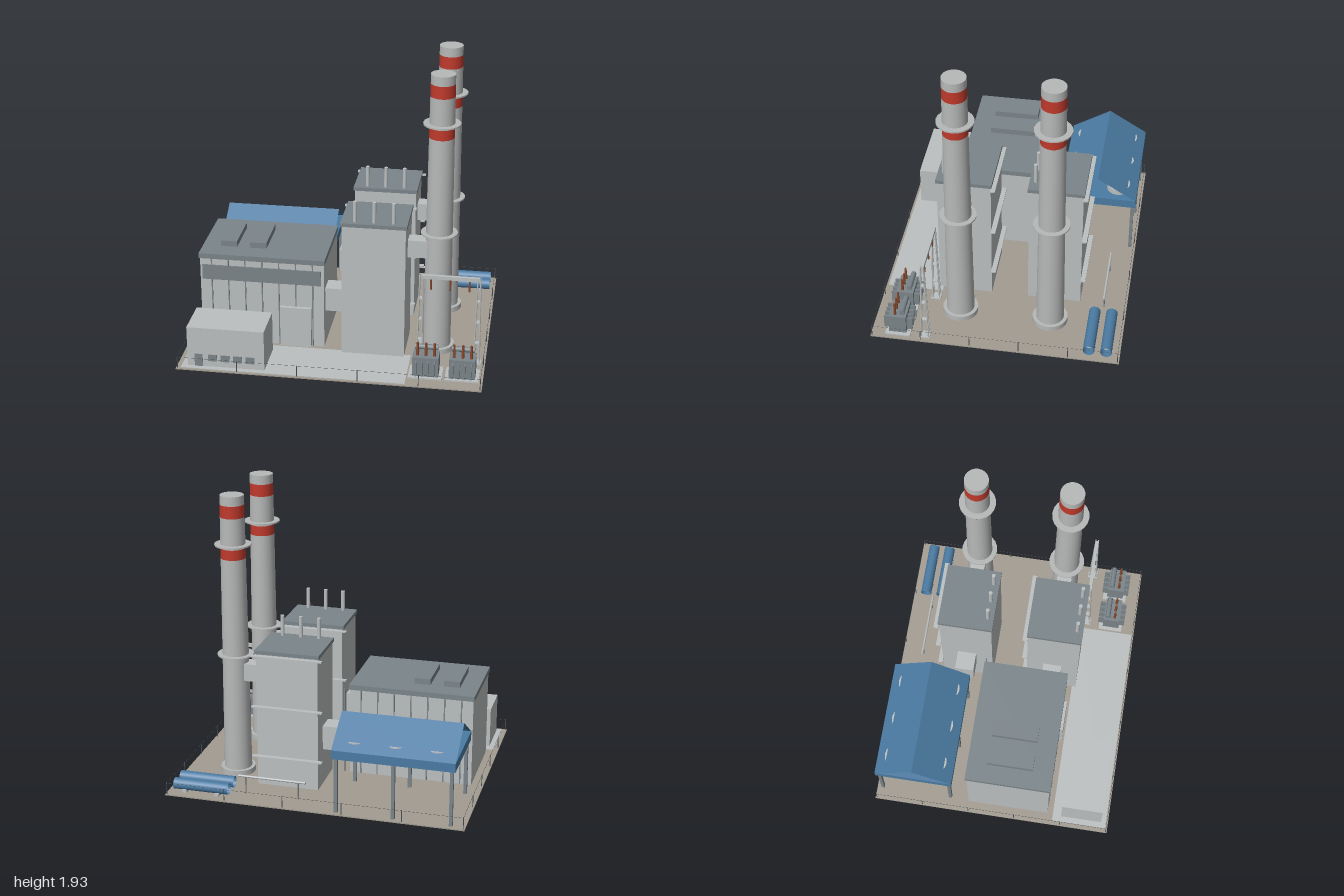
import * as THREE from 'three';

export function createModel() {
  const root = new THREE.Group();
  root.name = 'powerStation';

  const mat = (name, color, side = THREE.FrontSide) => {
    const m = new THREE.MeshStandardMaterial({ color, side });
    m.name = name;
    return m;
  };
  const wall = mat('paleCladding', 0xbcc0c0);
  const roof = mat('slateGrey', 0x7b858a);
  const concrete = mat('stackConcrete', 0xb7b8b8);
  const red = mat('warningRed', 0xc0392b);
  const blue = mat('steelBlue', 0x4b7ba3, THREE.DoubleSide);
  const ground = mat('gravel', 0xa29c91);
  const dark = mat('darkSteel', 0x50565a);
  const brown = mat('insulatorBrown', 0x8a4a2c);

  const group = (name, parent = root) => {
    const g = new THREE.Group();
    g.name = name;
    parent.add(g);
    return g;
  };
  const add = (parent, name, geo, material) => {
    const m = new THREE.Mesh(geo, material);
    m.name = name;
    parent.add(m);
    return m;
  };
  // box given by its limits on each axis
  const box = (p, name, m, x0, x1, y0, y1, z0, z1) => {
    const g = new THREE.BoxGeometry(x1 - x0, y1 - y0, z1 - z0);
    g.translate((x0 + x1) / 2, (y0 + y1) / 2, (z0 + z1) / 2);
    return add(p, name, g, m);
  };
  // upright cylinder from y0 to y1
  const cyl = (p, name, m, x, z, y0, y1, r0, r1 = r0, n = 16) => {
    const g = new THREE.CylinderGeometry(r1, r0, y1 - y0, n);
    g.translate(x, (y0 + y1) / 2, z);
    return add(p, name, g, m);
  };
  // straight rod between two points
  const rod = (p, name, m, a, b, r, n = 6, open = false) => {
    const A = new THREE.Vector3(...a), B = new THREE.Vector3(...b);
    const d = B.clone().sub(A);
    const mesh = add(p, name, new THREE.CylinderGeometry(r, r, d.length(), n, 1, open), m);
    mesh.position.copy(A).add(B).multiplyScalar(0.5);
    mesh.quaternion.setFromUnitVectors(new THREE.Vector3(0, 1, 0), d.normalize());
    return mesh;
  };

  // Site
  const site = group('site');
  box(site, 'groundSlab', ground, -1, 1, 0, 0.008, -0.83, 0.83);
  box(site, 'frontApron', wall, -0.97, 0.505, 0.008, 0.012, 0.435, 0.815);

  // Perimeter fence
  const fence = group('fence');
  for (const s of [-1, 1]) {
    for (let i = 0; i <= 5; i++) cyl(fence, 'fencePost', dark, -0.99 + i * 0.396, s * 0.82, 0, 0.09, 0.003, 0.003, 5);
    for (let i = 1; i < 5; i++) cyl(fence, 'fencePost', dark, s * 0.99, -0.82 + i * 0.328, 0, 0.09, 0.003, 0.003, 5);
    rod(fence, 'fenceWire', dark, [-0.99, 0.086, s * 0.82], [0.99, 0.086, s * 0.82], 0.001, 4);
    rod(fence, 'fenceWire', dark, [s * 0.99, 0.086, -0.82], [s * 0.99, 0.086, 0.82], 0.001, 4);
  }

  // Turbine hall
  const hall = group('turbineHall');
  box(hall, 'hallWalls', wall, -0.92, -0.085, 0, 0.61, -0.17, 0.395);
  box(hall, 'hallRoof', roof, -0.928, -0.08, 0.61, 0.645, -0.18, 0.402);
  box(hall, 'windowBand', roof, -0.905, -0.105, 0.46, 0.565, 0.395, 0.402);
  for (let i = 0; i < 8; i++) {
    const x = -0.842 + i * 0.1135;
    if (i < 7) box(hall, 'frontRib', roof, x - 0.004, x + 0.004, 0.01, 0.61, 0.395, 0.4);
    box(hall, 'backRib', roof, x - 0.004, x + 0.004, 0.01, 0.61, -0.176, -0.17);
  }
  box(hall, 'gate', wall, -0.38, -0.17, 0, 0.295, 0.395, 0.42);
  for (const x of [-0.75, -0.55]) box(hall, 'roofVent', roof, x - 0.055, x + 0.055, 0.645, 0.685, -0.045, 0.265);

  // Office block
  const office = group('office');
  box(office, 'officeWalls', wall, -0.93, -0.418, 0, 0.29, 0.495, 0.78);
  box(office, 'officeDoor', roof, -0.882, -0.828, 0.012, 0.1, 0.78, 0.784);
  for (let i = 0; i < 4; i++) {
    const x = -0.762 + i * 0.0835;
    box(office, 'officeWindow', roof, x - 0.029, x + 0.029, 0.053, 0.1, 0.78, 0.784);
  }

  // Two boiler units, each with its stack
  for (const z of [0.28, -0.33]) {
    const boiler = group('boilerUnit');
    box(boiler, 'boilerWalls', wall, 0.043, 0.46, 0, 0.93, z - 0.18, z + 0.18);
    box(boiler, 'boilerRoof', roof, 0.033, 0.468, 0.93, 0.955, z - 0.186, z + 0.186);
    for (const x of [0.125, 0.25, 0.377]) cyl(boiler, 'ventPipe', wall, x, z + 0.145, 0.955, 1.097, 0.013, 0.013, 12);
    for (const y of [0.215, 0.567, 0.92]) box(boiler, 'gallery', wall, 0.01, 0.49, y - 0.004, y + 0.004, z - 0.212, z - 0.18);
    box(boiler, 'steamDuct', wall, -0.085, 0.045, 0.255, 0.42, z - 0.065, z + 0.065);
    box(boiler, 'flueDuct', wall, 0.46, 0.6, 0.68, 0.8, z - 0.05, z + 0.05);

    const stack = group('stack');
    const X = 0.66, H = 1.935;
    const radius = y => 0.094 - 0.015 * y / H;
    cyl(stack, 'stackFooting', concrete, X, z, 0, 0.045, 0.118, 0.118, 20);
    // shaft sections between the painted bands
    const levels = [0.04, 1.515, 1.583, 1.79, 1.873, H];
    for (let i = 0; i < 5; i++) {
      const [a, b] = [levels[i], levels[i + 1]];
      cyl(stack, i % 2 ? 'warningBand' : 'shaft', i % 2 ? red : concrete, X, z, a, b, radius(a), radius(b), 20);
    }
    for (const y of [0.85, 1.605]) cyl(stack, 'ringWalkway', concrete, X, z, y - 0.005, y + 0.005, 0.121, 0.121, 20);
  }

  // Air-cooled condenser on legs, with an A-shaped roof over its fans
  const cond = group('condenser');
  const [cx0, cx1, cz0, cz1, eave, ridge, mid] = [-0.93, -0.13, -0.813, -0.28, 0.445, 0.61, -0.546];
  box(cond, 'deck', blue, cx0, cx1, 0.385, eave, cz0, cz1);
  for (const x of [-0.905, -0.53, -0.155])
    for (const z of [-0.79, -0.303]) box(cond, 'deckLeg', roof, x - 0.011, x + 0.011, 0, 0.385, z - 0.011, z + 0.011);
  for (const x of [-0.797, -0.53, -0.263])
    for (const z of [-0.68, -0.412]) cyl(cond, 'fan', wall, x, z, eave, 0.486, 0.081, 0.081, 16);
  const slope = (z) => {
    const g = new THREE.BufferGeometry();
    const q = [[cx0, eave, z], [cx1, eave, z], [cx1, ridge, mid], [cx0, ridge, mid]];
    g.setAttribute('position', new THREE.Float32BufferAttribute(q.flat(), 3));
    g.setIndex(z > mid ? [0, 1, 2, 0, 2, 3] : [0, 2, 1, 0, 3, 2]);
    g.computeVertexNormals();
    add(cond, 'coolingPanel', g, blue);
  };
  slope(cz0);
  slope(cz1);

  // Storage tubes on saddles and the pipe beside them
  const yard = group('pipeYard');
  for (const z of [-0.74, -0.625]) {
    rod(yard, 'storageTube', blue, [0.585, 0.055, z], [0.962, 0.055, z], 0.038, 20, true);
    for (const x of [0.66, 0.885]) box(yard, 'saddle', wall, x - 0.015, x + 0.015, 0.008, 0.03, z - 0.037, z + 0.037);
  }
  rod(yard, 'servicePipe', wall, [0.08, 0.13, -0.677], [0.54, 0.13, -0.677], 0.008, 10);
  for (const x of [0.13, 0.49]) cyl(yard, 'pipeSupport', roof, x, -0.677, 0, 0.125, 0.004, 0.004, 6);

  // Two transformers
  for (const x of [0.626, 0.864]) {
    const t = group('transformer');
    box(t, 'pad', wall, x - 0.11, x + 0.11, 0.008, 0.018, 0.567, 0.735);
    box(t, 'tank', roof, x - 0.085, x + 0.085, 0.018, 0.152, 0.595, 0.712);
    for (let i = 0; i < 4; i++) {
      const fx = x - 0.06 + i * 0.04;
      box(t, 'coolingFin', roof, fx - 0.005, fx + 0.005, 0.035, 0.132, 0.557, 0.748);
    }
    rod(t, 'oilConservator', roof, [x - 0.075, 0.188, 0.622], [x + 0.075, 0.188, 0.622], 0.018, 14);
    for (const s of [-1, 1]) box(t, 'conservatorBracket', roof, x + s * 0.05 - 0.006, x + s * 0.05 + 0.006, 0.15, 0.18, 0.612, 0.632);
    for (const dx of [-0.055, 0, 0.055]) cyl(t, 'bushing', brown, x + dx, 0.673, 0.152, 0.243, 0.01, 0.007, 10);
  }

  // Line gantry with tapering four-legged towers
  const gantry = group('gantry');
  box(gantry, 'crossbeam', wall, 0.567, 0.945, 0.603, 0.628, 0.455, 0.477);
  for (const x of [0.566, 0.942]) {
    box(gantry, 'towerFoot', wall, x - 0.03, x + 0.03, 0.008, 0.018, 0.434, 0.5);
    for (const sx of [-1, 1])
      for (const sz of [-1, 1])
        rod(gantry, 'towerLeg', wall, [x + sx * 0.018, 0.01, 0.467 + sz * 0.024], [x + sx * 0.009, 0.628, 0.467 + sz * 0.009], 0.0045);
    for (const y of [0.16, 0.31, 0.46]) box(gantry, 'towerBrace', wall, x - 0.014, x + 0.014, y - 0.003, y + 0.003, 0.45, 0.484);
  }
  for (const x of [0.63, 0.755, 0.88]) cyl(gantry, 'hangingInsulator', brown, x, 0.466, 0.525, 0.603, 0.006, 0.006, 8);

  return root;
}
